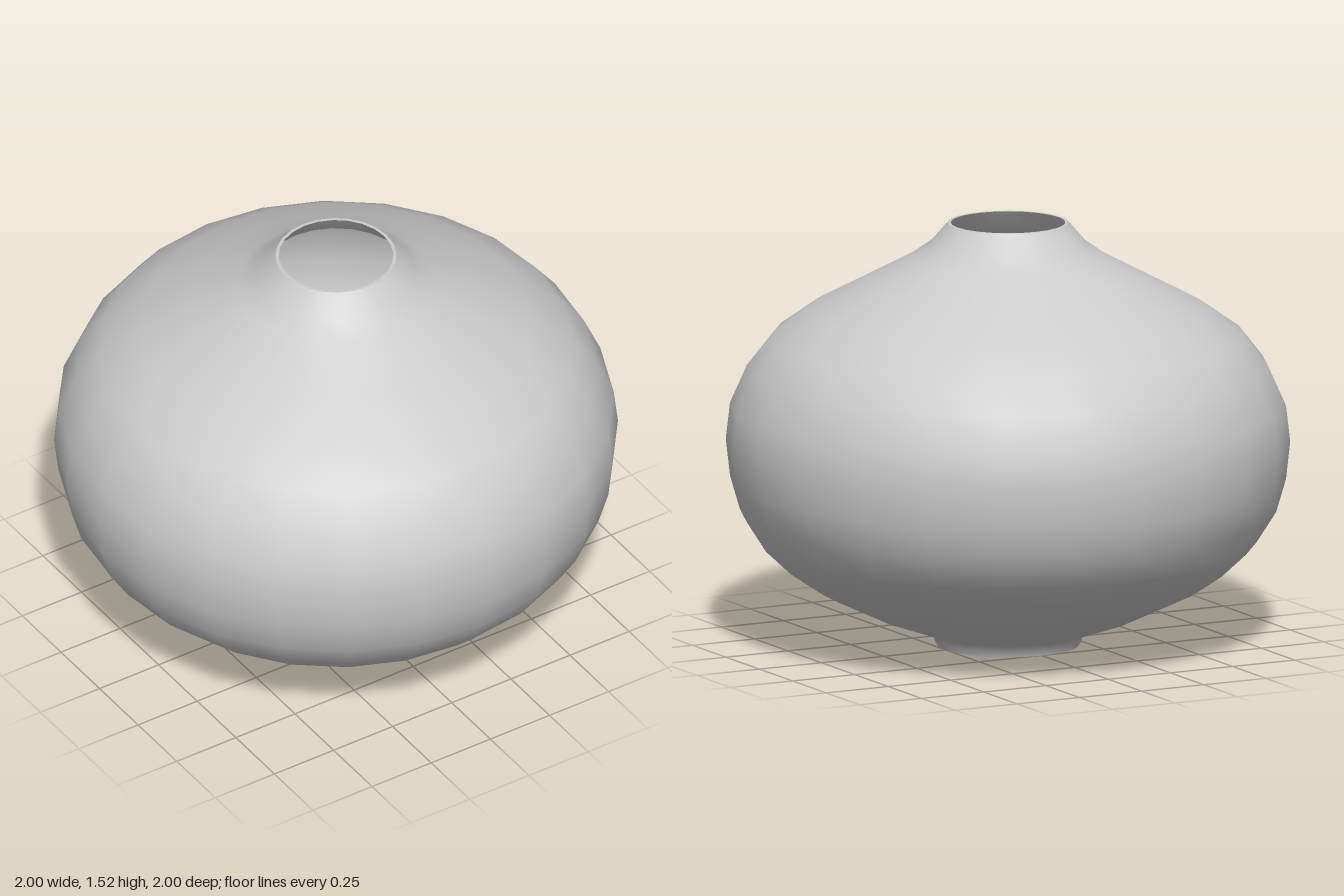
import * as THREE from 'three';

const SIDES = 24;
const WALL = 0.012;

// Outer wall profile [radius, height], foot to lip
const OUTER = [
  [0.255, 0], [0.27, 0.04], [0.47, 0.11], [0.68, 0.21], [0.79, 0.285], [0.88, 0.37],
  [0.95, 0.48], [0.985, 0.6], [1, 0.735], [0.985, 0.865], [0.925, 1.0], [0.84, 1.11],
  [0.7, 1.21], [0.52, 1.305], [0.35, 1.395], [0.28, 1.445], [0.215, 1.52],
];

export function createModel() {
  const vase = new THREE.Group();
  vase.name = 'vase';
  const material = new THREE.MeshStandardMaterial({ color: 0xcccccc });

  // Each lathe is smooth in itself; edges between lathes stay sharp
  const addLathe = (name, profile) => {
    const points = profile.map(([r, y]) => new THREE.Vector2(r, y));
    const mesh = new THREE.Mesh(new THREE.LatheGeometry(points, SIDES), material);
    mesh.name = name;
    vase.add(mesh);
  };

  const [lipRadius, lipHeight] = OUTER[OUTER.length - 1];
  const innerLip = [lipRadius - WALL, lipHeight];

  // Inner wall follows the body downwards, closing in a shallow bowl
  const inner = OUTER.slice(2, -1).reverse().map(([r, y]) => [r - WALL, y + (y < 0.735 ? WALL : -WALL)]);

  addLathe('outerWall', OUTER);
  addLathe('lip', [[lipRadius, lipHeight], innerLip]);
  addLathe('innerWall', [innerLip, ...inner, [0.25, 0.06], [0, 0.04]]);
  addLathe('footBase', [[0, 0], OUTER[0]]);

  return vase;
}
